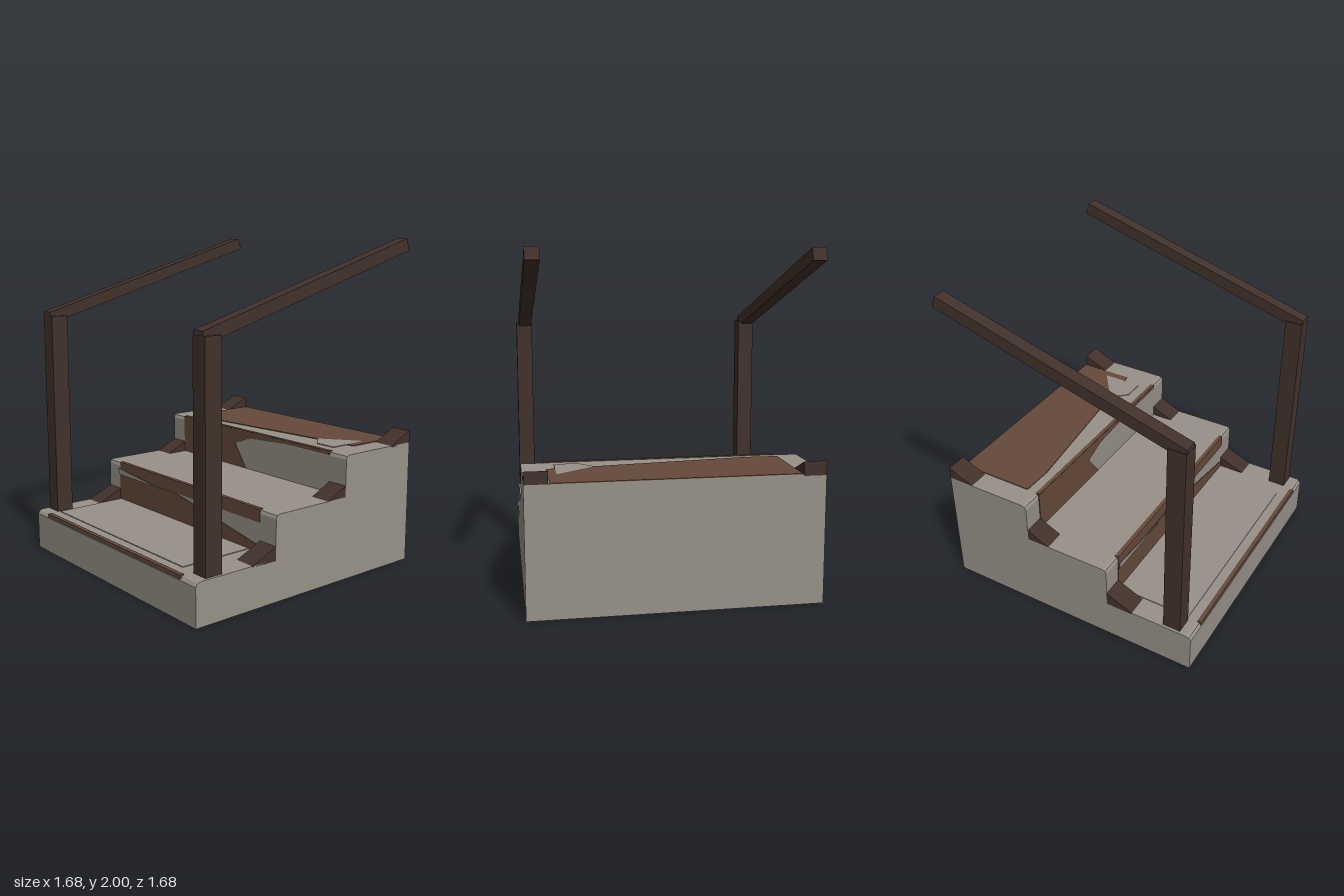
import * as THREE from 'three';

const stone = new THREE.MeshStandardMaterial({ color: 0x979188, flatShading: true });
stone.name = 'stone';
const plank = new THREE.MeshStandardMaterial({ color: 0x654a3a, flatShading: true });
plank.name = 'plankBrown';
const timber = new THREE.MeshStandardMaterial({ color: 0x42312b, flatShading: true });
timber.name = 'darkTimber';

const THIN = 0.005;

function polygon(points) {
  return new THREE.Shape(points.map(([a, b]) => new THREE.Vector2(a, b)));
}

// Side profile given as [z, y], extruded along x and centred on x = 0
function sideExtrude(points, width) {
  const g = new THREE.ExtrudeGeometry(polygon(points.map(([z, y]) => [-z, y])), { depth: width, bevelEnabled: false });
  return g.translate(0, 0, -width / 2).rotateY(Math.PI / 2);
}

export function createModel() {
  const group = new THREE.Group();
  const add = (name, geometry, material, x = 0, y = 0, z = 0) => {
    const mesh = new THREE.Mesh(geometry, material);
    mesh.name = name;
    mesh.position.set(x, y, z);
    group.add(mesh);
    return mesh;
  };
  const plate = (points) => new THREE.ExtrudeGeometry(polygon(points), { depth: THIN, bevelEnabled: false });
  // Upright plate from [x, y] points, and flat plate from [x, z] points
  const riserPlate = (name, points, z) => add(name, plate(points), plank, 0, 0, z);
  const treadPlate = (name, points, material, y) =>
    add(name, plate(points).rotateX(Math.PI / 2), material, 0, y + THIN, 0);

  // front edge z, top y, depth of brown nosing face
  const steps = [
    { z: 0.835, y: 0.252, face: 0.025 },
    { z: 0.278, y: 0.507, face: 0.08 },
    { z: -0.274, y: 0.757, face: 0.025 },
  ];

  // Solid stair block with chamfered nosings
  const c = 0.025;
  const profile = [[-0.84, 0], [0.84, 0]];
  steps.forEach(({ z, y }, i) => {
    if (i) profile.push([z, steps[i - 1].y]);
    profile.push([z, y - c], [z - 0.008, y - 0.006], [z - c, y]);
  });
  profile[2][0] = 0.84;
  profile.push([-0.84, steps[2].y]);
  add('stairBlock', sideExtrude(profile, 1.68), stone);

  // Wooden nosing strip along each step
  steps.forEach(({ z, y, face }, i) => {
    const strip = new THREE.BoxGeometry(1.41, face, 0.026);
    add('nosing' + (i + 1), strip, plank, 0, y + 0.004 - face / 2, z - 0.009);
  });

  // Worn boards on the risers
  riserPlate('lowerRiserBoard', [[-0.71, 0.255], [0.7, 0.255], [0.7, 0.295], [-0.07, 0.427], [-0.71, 0.427]], 0.278);
  add('lowerRiserStonePatch', plate([[-0.71, 0.428], [-0.24, 0.428], [-0.71, 0.468]]), stone, 0, 0, 0.289);
  riserPlate('upperRiserBoard', [
    [-0.71, 0.51], [-0.05, 0.51], [-0.16, 0.66], [-0.01, 0.715], [0.3, 0.735], [0.7, 0.74], [0.7, 0.757], [-0.71, 0.757],
  ], -0.274);

  // Worn board on the landing
  treadPlate('landingBoard', [
    [-0.7, -0.84], [0.7, -0.84], [0.7, -0.49], [0.65, -0.48], [0.65, -0.63],
    [0.42, -0.46], [-0.5, -0.355], [-0.7, -0.36],
  ], plank, 0.757);

  // Slightly raised stone slabs
  treadPlate('landingSlab', [[0.65, -0.63], [0.65, -0.365], [0.51, -0.365], [0.42, -0.46]], stone, 0.757);
  treadPlate('lowerTreadSlab', [[-0.7, 0.28], [0.615, 0.28], [0.615, 0.753], [-0.7, 0.753]], stone, 0.252);

  // Wedge blocks at the back corners of every tread: [back z, front z, tread y, rise]
  const wedges = [[0.278, 0.45, 0.252, 0.073], [-0.274, -0.13, 0.507, 0.068], [-0.84, -0.675, 0.757, 0.073]];
  // Profile of the sloping handrail
  const rail = [[0.765, 1.52], [0.65, 1.503], [-0.815, 1.93], [-0.79, 2], [0.762, 1.545]];

  for (const [side, s] of [['left', 1], ['right', -1]]) {
    wedges.forEach(([back, front, y, rise], i) => {
      const geo = sideExtrude([[back, y - 0.01], [front, y - 0.01], [front, y], [back, y + rise]], 0.132);
      add(side + 'Wedge' + (i + 1), geo, timber, s * 0.774);
    });
    add(side + 'Post', new THREE.BoxGeometry(0.102, 1.27, 0.11), timber, s * 0.772, 0.885, 0.706);
    add(side + 'Handrail', sideExtrude(rail, 0.08), timber, s > 0 ? 0.768 : -0.778);
  }
  return group;
}
